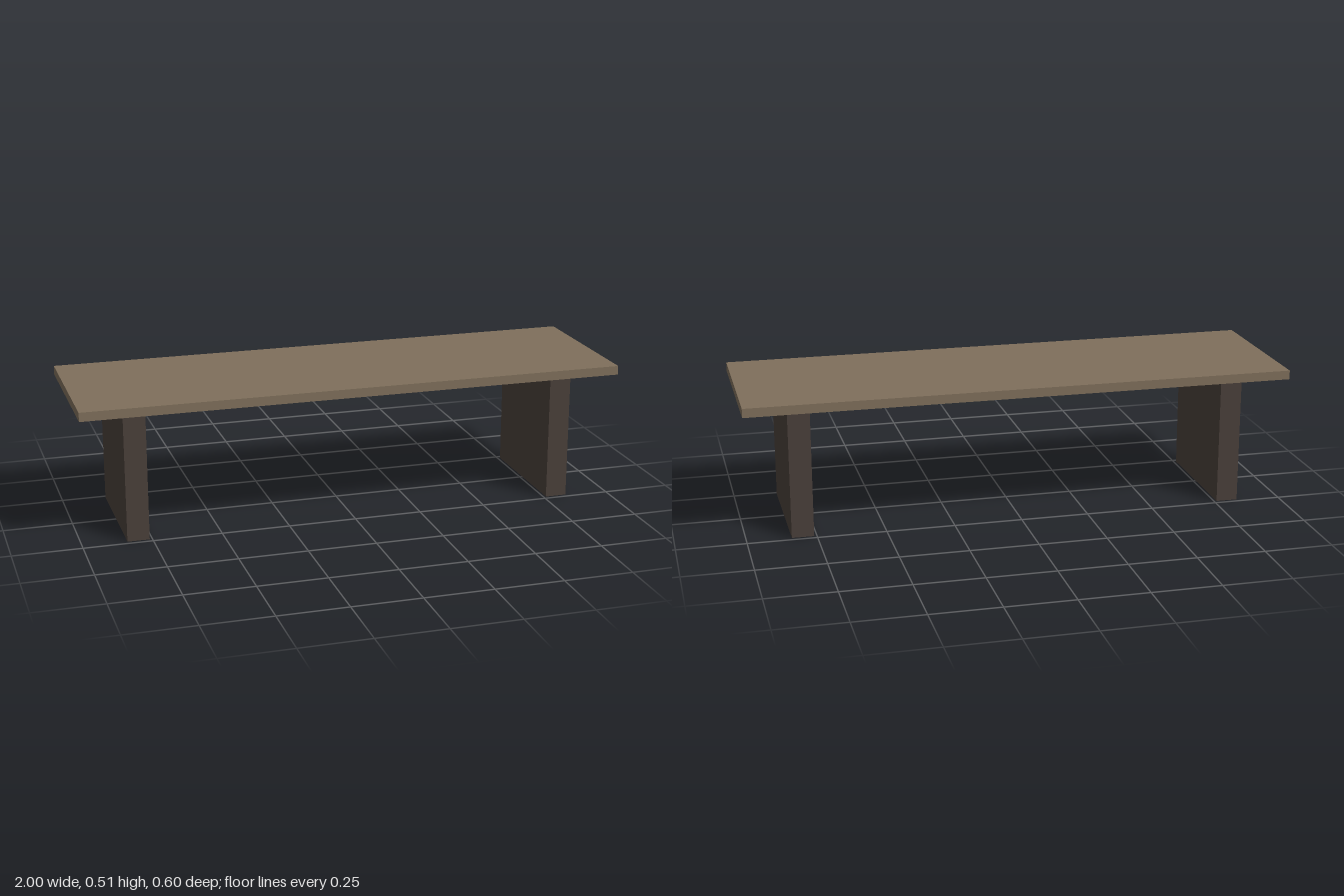
import * as THREE from 'three';

export function createModel() {
  const bench = new THREE.Group();
  bench.name = 'bench';

  const lightWood = new THREE.MeshStandardMaterial({ name: 'lightWood', color: 0x7f6f5b });
  const darkWood = new THREE.MeshStandardMaterial({ name: 'darkWood', color: 0x4a403a });

  const legHeight = 0.48;
  const topThickness = 0.033;

  // Box standing on the given base height
  function addSlab(name, width, height, depth, x, baseY, material) {
    const slab = new THREE.Mesh(new THREE.BoxGeometry(width, height, depth), material);
    slab.name = name;
    slab.position.set(x, baseY + height / 2, 0);
    bench.add(slab);
  }

  // Long flat top
  addSlab('top', 2, topThickness, 0.6, 0, legHeight, lightWood);

  // Mirrored panel legs
  for (const [name, side] of [['leftLeg', 1], ['rightLeg', -1]]) {
    addSlab(name, 0.08, legHeight, 0.467, side * 0.8, 0, darkWood);
  }

  return bench;
}
